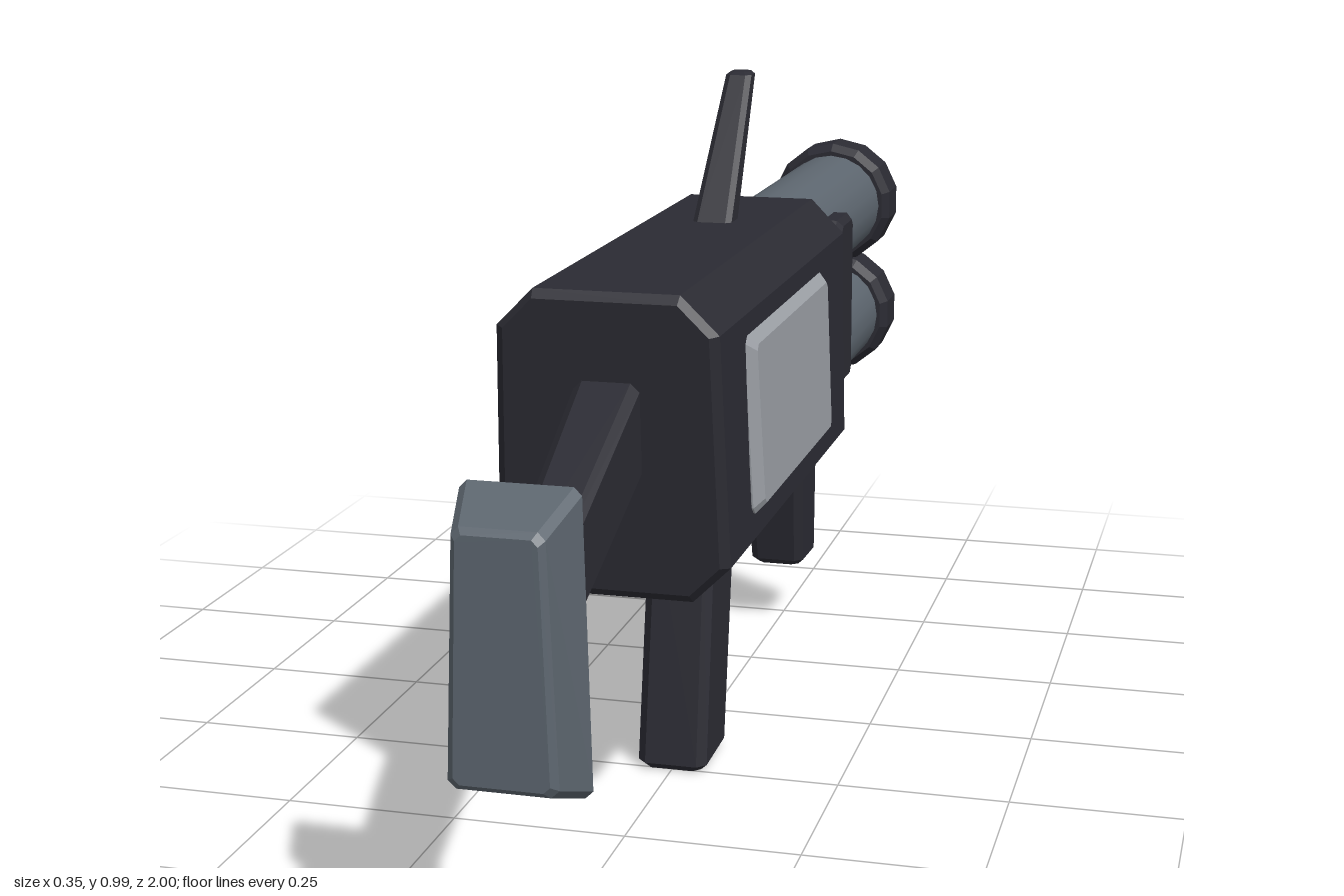
import * as THREE from 'three';

const V = (x, y, z) => new THREE.Vector3(x, y, z);

// Eight-point chamfered rectangle; k narrows it towards +v
function ring({ c, u, v, k = 0 }, inset, chamfer, shift) {
  const a = u.length(), b = v.length();
  const su = 1 - inset / a, sv = 1 - inset / b;
  const iu = su - chamfer / a, iv = sv - chamfer / b;
  return [[iu, sv], [su, iv], [su, -iv], [iu, -sv], [-iu, -sv], [-su, -iv], [-su, iv], [-iu, sv]]
    .map(([s, t]) => c.clone().add(shift).addScaledVector(u, s * (1 - k * t)).addScaledVector(v, t));
}

// Bevelled solid between two end sections
function block(A, B, bevel, chamfer) {
  const dir = B.c.clone().sub(A.c).normalize().multiplyScalar(bevel);
  const none = V(0, 0, 0);
  const rings = [
    ring(A, bevel, chamfer * 0.8, none), ring(A, 0, chamfer, dir),
    ring(B, 0, chamfer, dir.clone().negate()), ring(B, bevel, chamfer * 0.8, none),
  ];
  const pos = rings.flat().flatMap((p) => [p.x, p.y, p.z]);
  const idx = [];
  for (let r = 0; r < 3; r++) {
    for (let i = 0; i < 8; i++) {
      const a = r * 8 + i, b = r * 8 + (i + 1) % 8;
      idx.push(a, b, a + 8, b, b + 8, a + 8);
    }
  }
  for (let i = 1; i < 7; i++) idx.push(0, i + 1, i, 24, 24 + i, 25 + i);
  // Turn the faces outward whatever the direction of the loft
  const P = rings.flat();
  let volume = 0;
  for (let i = 0; i < idx.length; i += 3) {
    volume += P[idx[i]].dot(P[idx[i + 1]].clone().cross(P[idx[i + 2]]));
  }
  if (volume < 0) idx.reverse();
  const geo = new THREE.BufferGeometry();
  geo.setAttribute('position', new THREE.Float32BufferAttribute(pos, 3));
  geo.setIndex(idx);
  const flat = geo.toNonIndexed();
  flat.computeVertexNormals();
  return flat;
}

// End section of a bar, from two [z, y] points and a half width
function end([z0, y0], [z1, y1], w) {
  return {
    c: V(0, (y0 + y1) / 2, (z0 + z1) / 2),
    u: V(w, 0, 0),
    v: V(0, (y1 - y0) / 2, (z1 - z0) / 2),
  };
}

export function createModel() {
  const model = new THREE.Group();
  model.name = 'launcher';
  const charcoal = new THREE.MeshStandardMaterial({ name: 'charcoal', color: 0x2b2b33 });
  const steel = new THREE.MeshStandardMaterial({ name: 'steel grey', color: 0x5d666f });
  const silver = new THREE.MeshStandardMaterial({ name: 'light grey', color: 0x9a9ea4 });
  const add = (name, geo, mat) => {
    const mesh = new THREE.Mesh(geo, mat);
    mesh.name = name;
    model.add(mesh);
    return mesh;
  };

  // Main housing with slanted ends
  add('body', block(
    { c: V(0, 0.57, 0.558), u: V(0.155, 0, 0), v: V(0, 0.21, 0.015), k: 0.04 },
    { c: V(0, 0.57, -0.24), u: V(0.155, 0, 0), v: V(0, 0.21, -0.01), k: 0.04 },
    0.012, 0.052), charcoal);

  // Side panels and barrel clasps, mirrored
  for (const s of [1, -1]) {
    const side = s > 0 ? 'left' : 'right';
    add(side + 'Panel', block(
      { c: V(s * 0.14, 0.575, 0.18), u: V(0, 0, 0.24), v: V(-s * 0.006, 0.125, 0), k: -0.02 },
      { c: V(s * 0.17, 0.575, 0.18), u: V(0, 0, 0.24), v: V(-s * 0.006, 0.125, 0), k: -0.02 },
      0.014, 0.01), silver);
    add(side + 'Clasp', block(
      { c: V(s * 0.065, 0.57, -0.477), u: V(0, 0, 0.055), v: V(0, 0.143, 0) },
      { c: V(s * 0.11, 0.57, -0.477), u: V(0, 0, 0.055), v: V(0, 0.143, 0) },
      0.01, 0.012), charcoal);
  }

  // Twin barrels with bevelled muzzle caps
  for (const [name, y, raised] of [['upper', 0.669, true], ['lower', 0.464, false]]) {
    const barrel = new THREE.CylinderGeometry(0.09, 0.09, 0.72, 20);
    barrel.rotateX(Math.PI / 2).translate(0, y, -0.57);
    add(name + 'Barrel', barrel, steel);
    const profile = [[0, 0.868], [0.098, 0.868], [0.11, 0.885], [0.11, 0.955], [0.097, 0.985]];
    if (raised) profile.push([0.068, 0.985], [0.064, 1]);
    profile.push([0, raised ? 1 : 0.985]);
    const cap = new THREE.LatheGeometry(profile.map(([r, d]) => new THREE.Vector2(r, d)), 14)
      .rotateX(-Math.PI / 2).translate(0, y, 0).toNonIndexed();
    cap.computeVertexNormals();
    add(name + 'MuzzleCap', cap, charcoal);
  }

  // Grips
  add('rearGrip', block(
    end([0.2, 0.38], [0.055, 0.38], 0.05), end([0.262, 0], [0.13, 0.003], 0.052), 0.01, 0.013), charcoal);
  add('foreGrip', block(
    end([-0.38, 0.385], [-0.525, 0.385], 0.052), end([-0.435, 0.105], [-0.55, 0.1], 0.045), 0.01, 0.013), charcoal);

  // Leaning sight blade
  add('sight', block(
    end([0.03, 0.765], [-0.025, 0.765], 0.03), end([-0.15, 0.987], [-0.19, 0.987], 0.02), 0.006, 0.008), charcoal);

  // Stock arm and shoulder plate
  add('stockArm', block(
    end([0.55, 0.53], [0.55, 0.668], 0.045), end([0.92, 0.365], [0.92, 0.488], 0.035), 0.008, 0.012), charcoal);
  add('shoulderPlate', block(
    { c: V(0, 0.427, 0.903), u: V(0.08, 0, 0), v: V(0, 0.193, 0), k: 0.06 },
    { c: V(0, 0.427, 1), u: V(0.063, 0, 0), v: V(0, 0.161, 0), k: 0.1 },
    0.008, 0.01), steel);

  return model;
}
